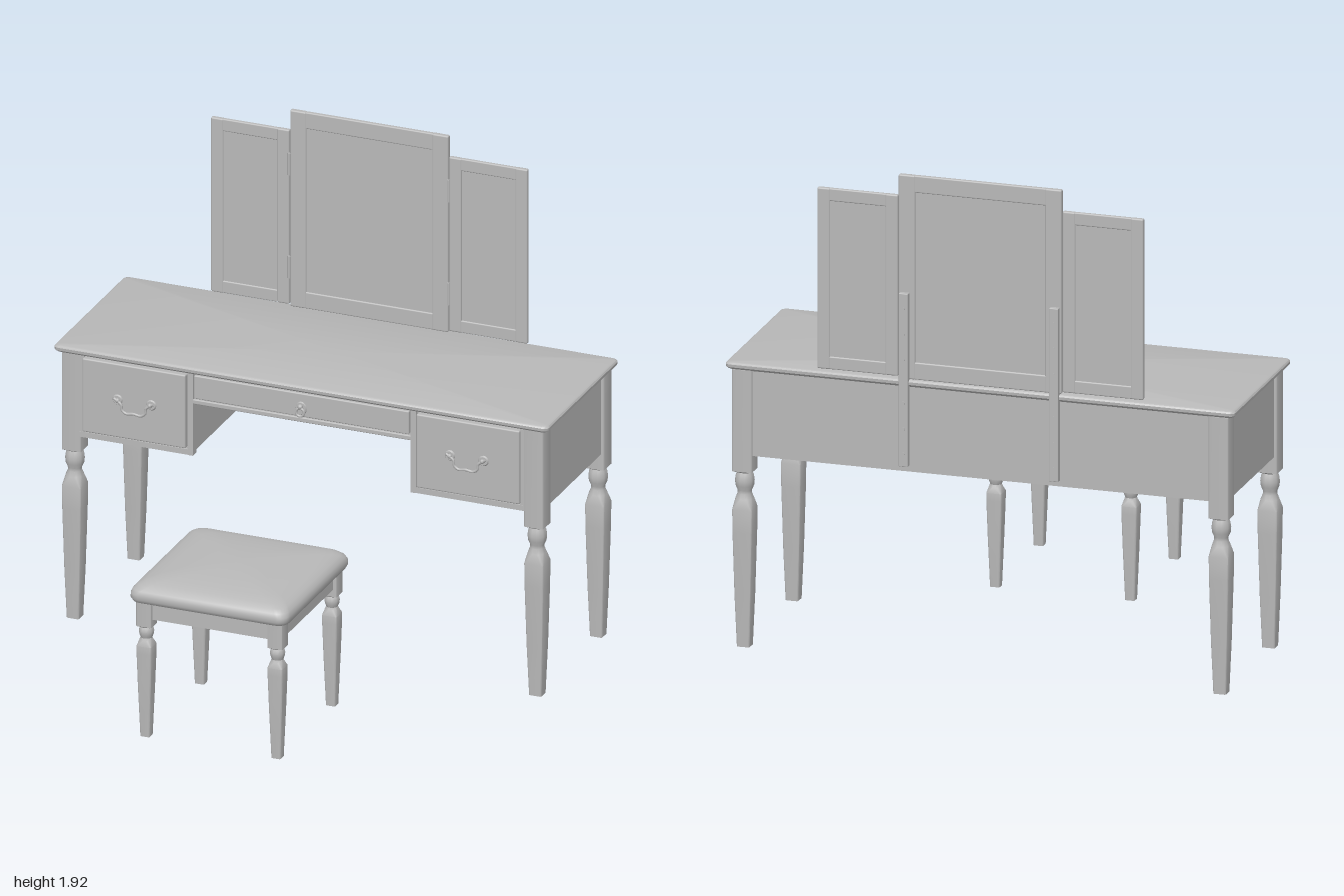
import * as THREE from 'three';
import { toCreasedNormals } from 'three/addons/utils/BufferGeometryUtils.js';
import { RoundedBoxGeometry } from 'three/addons/geometries/RoundedBoxGeometry.js';

const finish = new THREE.MeshStandardMaterial({ color: 0xb8b8b8 });
finish.name = 'grey finish';

function add(parent, name, geometry, x = 0, y = 0, z = 0) {
  const mesh = new THREE.Mesh(geometry, finish);
  mesh.name = name;
  mesh.position.set(x, y, z);
  parent.add(mesh);
  return mesh;
}

// Box given by its limits; r > 0 rounds the edges
function slab(parent, name, x0, x1, y0, y1, z0, z1, r = 0) {
  const s = [x1 - x0, y1 - y0, z1 - z0];
  const geometry = r ? new RoundedBoxGeometry(...s, 3, r) : new THREE.BoxGeometry(...s);
  return add(parent, name, geometry, (x0 + x1) / 2, (y0 + y1) / 2, (z0 + z1) / 2);
}

// Rounded-rectangle sections [y, halfX, halfZ, cornerRadius], listed upwards, joined and capped
function loft(sections, crease = 0.6, n = 6) {
  const pos = [], index = [], count = 4 * (n + 1);
  for (const [y, hx, hz, r] of sections) {
    for (let k = 0; k < 4; k++) {
      const sx = k === 0 || k === 3 ? 1 : -1, sz = k < 2 ? 1 : -1;
      for (let s = 0; s <= n; s++) {
        const a = (k + s / n) * Math.PI / 2;
        pos.push(sx * (hx - r) + r * Math.cos(a), y, sz * (hz - r) + r * Math.sin(a));
      }
    }
  }
  const last = sections.length - 1, bottom = count * (last + 1);
  pos.push(0, sections[0][0], 0, 0, sections[last][0], 0);
  for (let j = 0; j < count; j++) {
    const k = (j + 1) % count;
    for (let i = 0; i < last; i++) {
      const a = i * count + j, b = i * count + k;
      index.push(a, a + count, b, b, a + count, b + count);
    }
    index.push(bottom, j, k, bottom + 1, last * count + k, last * count + j);
  }
  const geometry = new THREE.BufferGeometry();
  geometry.setAttribute('position', new THREE.Float32BufferAttribute(pos, 3));
  geometry.setIndex(index);
  return toCreasedNormals(geometry, crease);
}

// Leg section: square with softened corners, or round
const square = (y, h) => [y, h, h, 0.006];
const round = (y, h) => [y, h, h, h];

function createDesk() {
  const desk = new THREE.Group();
  desk.name = 'desk';

  // Table top with an eased edge
  const top = [[1.088, 0.982, 0.332, 0.012], [1.094, 0.993, 0.343, 0.018], [1.1, 0.999, 0.349, 0.02],
    [1.111, 1, 0.35, 0.02], [1.117, 0.996, 0.346, 0.02], [1.12, 0.988, 0.338, 0.016]];
  add(desk, 'tableTop', loft(top), 0, 0, -0.45);

  // Legs: tapered foot, turned neck and bead, square post
  const legShape = loft([square(0, 0.025), square(0.2, 0.032), square(0.45, 0.038), square(0.54, 0.039),
    round(0.58, 0.035), round(0.6, 0.027), round(0.612, 0.027), round(0.63, 0.035), round(0.65, 0.037),
    round(0.67, 0.034), round(0.683, 0.029), square(0.69, 0.039), square(1.09, 0.039)]);
  for (const x of [-0.935, 0.935]) {
    for (const z of [-0.16, -0.752]) add(desk, 'deskLeg', legShape, x, 0, z);
  }

  // Back and centre drawer
  slab(desk, 'backPanel', -0.9, 0.9, 0.755, 1.09, -0.782, -0.765);
  slab(desk, 'centreDrawerBox', -0.445, 0.445, 0.965, 1.09, -0.765, -0.13);
  slab(desk, 'centreRail', -0.445, 0.445, 0.965, 0.984, -0.14, -0.118, 0.004);
  slab(desk, 'centreDrawerFront', -0.435, 0.435, 0.99, 1.085, -0.14, -0.112, 0.005);

  // Side compartments, drawer fronts and bail handles
  for (const side of [-1, 1]) {
    const part = (name, a, b, ...rest) =>
      slab(desk, name, Math.min(side * a, side * b), Math.max(side * a, side * b), ...rest);
    part('drawerCompartment', 0.45, 0.955, 0.757, 1.09, -0.768, -0.13);
    part('sidePanel', 0.945, 0.962, 0.755, 1.09, -0.73, -0.18);
    part('divider', 0.44, 0.462, 0.755, 1.09, -0.15, -0.116);
    part('outerStile', 0.882, 0.9, 0.755, 1.09, -0.15, -0.12);
    part('lowerRail', 0.455, 0.9, 0.755, 0.777, -0.15, -0.118);
    part('drawerFront', 0.467, 0.884, 0.783, 1.082, -0.14, -0.106, 0.006);
    createHandle(desk, side * 0.672);
  }

  // Centre pull: back plate, knob and hanging ring
  const plate = new THREE.CylinderGeometry(0.02, 0.023, 0.006, 20).rotateX(Math.PI / 2);
  add(desk, 'pullPlate', plate, 0, 1.025, -0.11).scale.y = 1.2;
  add(desk, 'pullKnob', new THREE.SphereGeometry(0.01, 14, 10), 0, 1.035, -0.102);
  add(desk, 'pullRing', new THREE.TorusGeometry(0.016, 0.005, 8, 20), 0, 1.013, -0.1);
  return desk;
}

function createHandle(parent, x) {
  const handle = new THREE.Group();
  handle.name = 'drawerHandle';
  handle.position.set(x, 0.93, -0.106);
  const rosette = new THREE.CylinderGeometry(0.017, 0.022, 0.007, 16).rotateX(Math.PI / 2);
  for (const s of [-1, 1]) {
    add(handle, 'rosette', rosette, s * 0.068, 0.008, 0.002);
    add(handle, 'handlePost', new THREE.SphereGeometry(0.009, 12, 8), s * 0.066, 0.008, 0.008);
  }
  const path = [[-0.08, 0.016], [-0.064, 0.006], [-0.05, -0.006], [-0.047, -0.026], [-0.03, -0.039], [0, -0.036],
    [0.03, -0.039], [0.047, -0.026], [0.05, -0.006], [0.064, 0.006], [0.08, 0.016]];
  const curve = new THREE.CatmullRomCurve3(path.map(([u, v]) => new THREE.Vector3(u, v, 0.01)));
  add(handle, 'bail', new THREE.TubeGeometry(curve, 48, 0.0055, 8));
  parent.add(handle);
}

// Framed mirror: two stiles, two rails and a thin glass
function createMirror(name, x0, x1, y0, y1, stile, rail, z0, z1) {
  const mirror = new THREE.Group();
  mirror.name = name;
  slab(mirror, 'frameStile', x0, x0 + stile, y0, y1, z0, z1, 0.006);
  slab(mirror, 'frameStile', x1 - stile, x1, y0, y1, z0, z1, 0.006);
  for (const y of [y0, y1 - rail]) {
    slab(mirror, 'frameRail', x0 + stile - 0.005, x1 - stile + 0.005, y, y + rail, z0 + 0.002, z1 - 0.002, 0.005);
  }
  const zc = (z0 + z1) / 2;
  slab(mirror, 'mirrorGlass', x0 + stile - 0.004, x1 - stile + 0.004, y0 + rail - 0.004, y1 - rail + 0.004,
    zc - 0.004, zc + 0.004);
  return mirror;
}

function createMirrors() {
  const mirrors = new THREE.Group();
  mirrors.name = 'tripleMirror';
  mirrors.add(createMirror('centreMirror', -0.32, 0.32, 1.12, 1.92, 0.065, 0.067, -0.792, -0.77));
  mirrors.add(createMirror('leftMirror', 0.323, 0.64, 1.127, 1.837, 0.05, 0.05, -0.79, -0.77));
  mirrors.add(createMirror('rightMirror', -0.64, -0.323, 1.127, 1.837, 0.05, 0.05, -0.79, -0.77));
  for (const s of [-1, 1]) {
    // Hinges between the wings and the centre
    for (const y of [1.28, 1.7]) {
      add(mirrors, 'hinge', new THREE.CylinderGeometry(0.005, 0.005, 0.09, 10), s * 0.322, y, -0.768);
    }
    // Support battens with screw heads behind the frame
    slab(mirrors, 'supportBatten', s * 0.295 - 0.018, s * 0.295 + 0.018, 0.78, 1.46, -0.811, -0.785, 0.003);
    for (const y of [0.83, 0.93, 1.03, 1.2, 1.3, 1.4]) {
      const screw = new THREE.CylinderGeometry(0.007, 0.007, 0.004, 10).rotateX(Math.PI / 2);
      add(mirrors, 'screwHead', screw, s * 0.295, y, -0.811);
    }
  }
  return mirrors;
}

function createStool() {
  const stool = new THREE.Group();
  stool.name = 'stool';
  stool.position.z = 0.49;

  // Domed cushion
  const cushion = [[0.552, 0.3, 0.04], [0.556, 0.313, 0.04], [0.57, 0.32, 0.04], [0.588, 0.32, 0.042],
    [0.603, 0.314, 0.045], [0.616, 0.3, 0.05], [0.626, 0.278, 0.05], [0.635, 0.235, 0.05], [0.643, 0.165, 0.05],
    [0.648, 0.09, 0.05], [0.65, 0.03, 0.025]].map(([y, h, r]) => [y, h, h, r]);
  add(stool, 'cushion', loft(cushion, 0.9));

  // Legs and aprons
  const legShape = loft([square(0, 0.019), square(0.2, 0.026), square(0.34, 0.03), square(0.37, 0.03),
    round(0.392, 0.026), round(0.402, 0.022), round(0.415, 0.027), round(0.428, 0.029), round(0.44, 0.026),
    round(0.446, 0.023), square(0.452, 0.031), square(0.556, 0.031)]);
  for (const s of [-1, 1]) {
    for (const t of [-1, 1]) add(stool, 'stoolLeg', legShape, s * 0.265, 0, t * 0.265);
    slab(stool, 'apron', -0.24, 0.24, 0.482, 0.556, s * 0.272 - 0.01, s * 0.272 + 0.01);
    slab(stool, 'apron', s * 0.272 - 0.01, s * 0.272 + 0.01, 0.482, 0.556, -0.24, 0.24);
  }
  return stool;
}

export function createModel() {
  const model = new THREE.Group();
  model.name = 'dressingTableSet';
  model.add(createDesk(), createMirrors(), createStool());
  return model;
}
